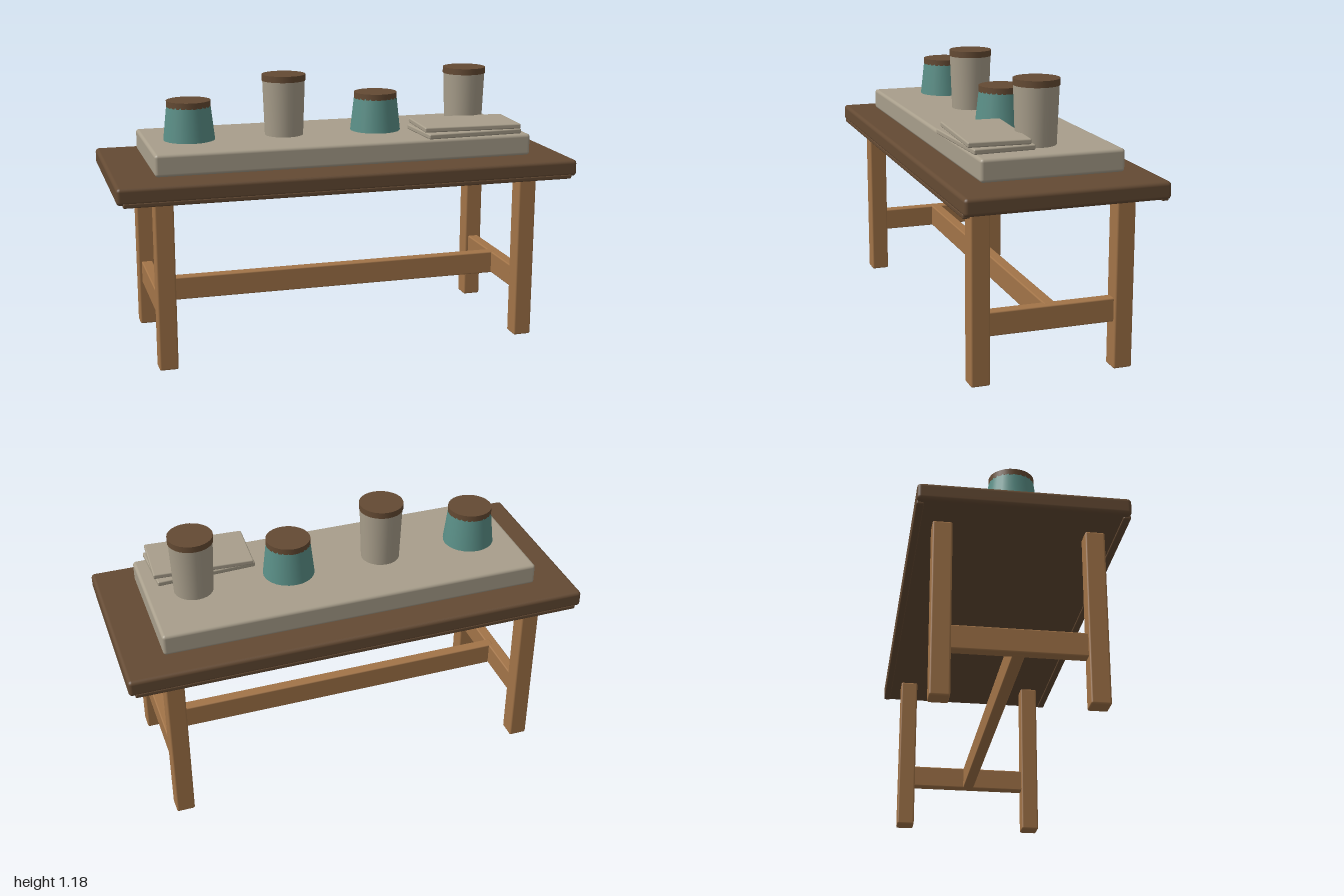
import * as THREE from 'three';
import { RoundedBoxGeometry } from 'three/addons/geometries/RoundedBoxGeometry.js';

function material(name, color) {
  const m = new THREE.MeshStandardMaterial({ color });
  m.name = name;
  return m;
}

export function createModel() {
  const darkWood = material('darkWood', 0x644a33);
  const lightWood = material('lightWood', 0xa27448);
  const stone = material('stone', 0xa89e8b);
  const teal = material('teal', 0x5a8f87);

  const model = new THREE.Group();
  model.name = 'displayTable';

  const add = (name, geometry, mat, x, y, z, parent = model) => {
    const mesh = new THREE.Mesh(geometry, mat);
    mesh.name = name;
    mesh.position.set(x, y, z);
    parent.add(mesh);
    return mesh;
  };
  const box = (w, h, d, r) => new RoundedBoxGeometry(w, h, d, 3, r);

  // Table top with a thin strip under each long edge
  add('tableTop', box(2, 0.072, 0.84, 0.016), darkWood, 0, 0.776, 0);
  for (const s of [-1, 1]) {
    add('edgeStrip', box(1.95, 0.02, 0.03, 0.006), darkWood, 0, 0.74, s * 0.405);
  }

  // Legs, end rails and the long stretcher
  for (const sx of [-1, 1]) {
    for (const sz of [-1, 1]) {
      add('leg', box(0.08, 0.742, 0.08, 0.008), lightWood, sx * 0.802, 0.371, sz * 0.305);
    }
    add('endRail', box(0.05, 0.1, 0.56, 0.006), lightWood, sx * 0.802, 0.25, 0);
  }
  add('stretcher', box(1.6, 0.102, 0.05, 0.006), lightWood, 0, 0.25, 0);

  // Display slab
  add('slab', box(1.655, 0.094, 0.6, 0.014), stone, 0, 0.867, 0);

  // Jars: wide tapered ones alternate with tall flared ones
  const base = 0.912;
  const jars = [
    { x: -0.635, mat: teal, bottom: 0.112, height: 0.172 },
    { x: -0.215, mat: stone, bottom: 0.084, height: 0.268 },
    { x: 0.205, mat: teal, bottom: 0.112, height: 0.172 },
    { x: 0.625, mat: stone, bottom: 0.084, height: 0.268 },
  ];
  for (const { x, mat, bottom, height } of jars) {
    const jar = new THREE.Group();
    jar.name = 'jar';
    jar.position.set(x, base, 0);
    model.add(jar);
    const body = new THREE.CylinderGeometry(0.0935, bottom, height - 0.008, 24);
    add('jarBody', body, mat, 0, (height - 0.008) / 2, 0, jar);
    add('jarLid', new THREE.CylinderGeometry(0.0955, 0.0955, 0.027, 28), darkWood, 0, height - 0.0135, 0, jar);
  }

  // Two stacked boards, turned slightly against each other
  for (const [y, turn] of [[0.932, 0.05], [0.958, -0.05]]) {
    add('board', box(0.434, 0.022, 0.257, 0.006), stone, 0.555, y, 0.192).rotation.y = turn;
  }

  return model;
}
